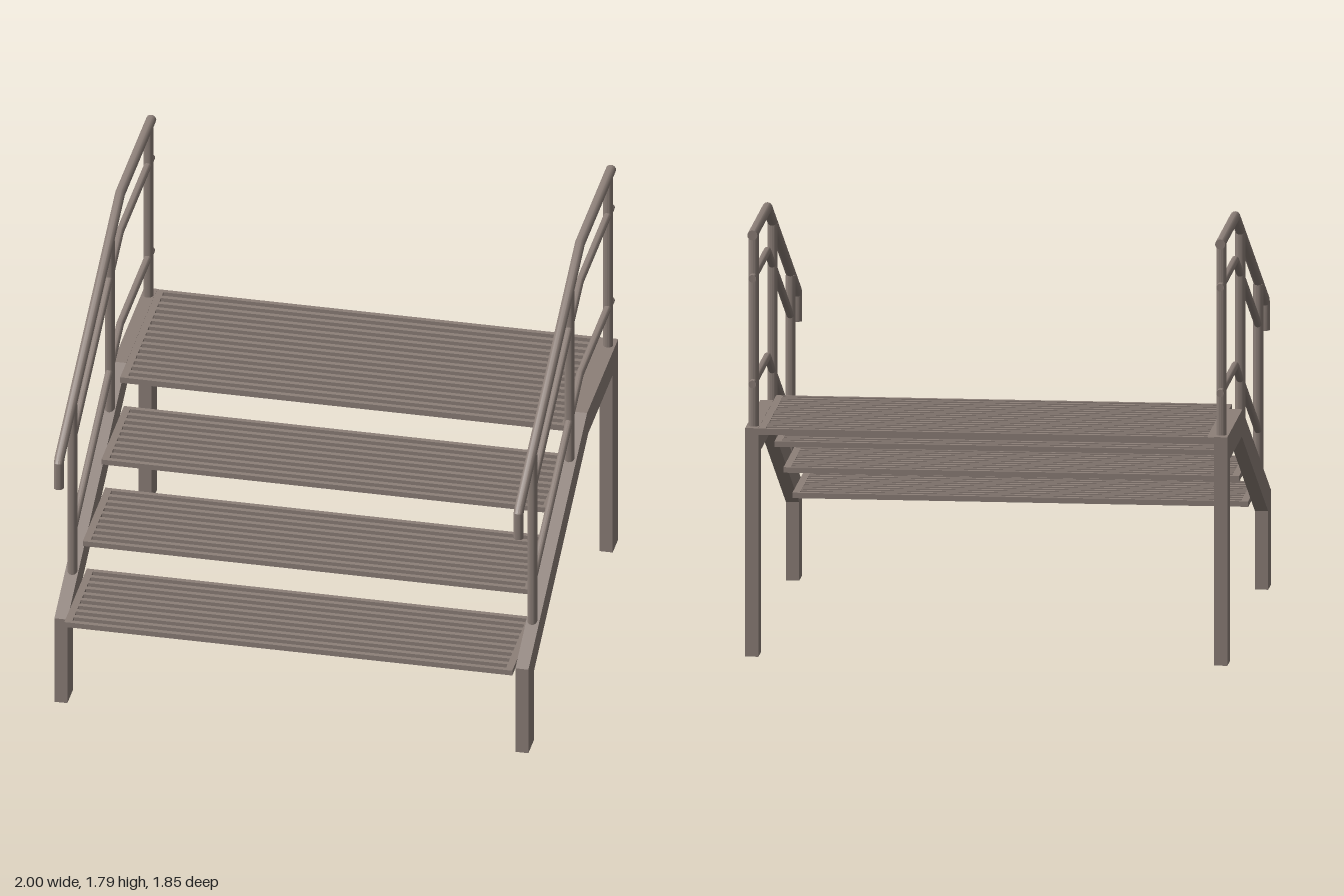
import * as THREE from 'three';
import { toCreasedNormals } from 'three/addons/utils/BufferGeometryUtils.js';

const material = new THREE.MeshStandardMaterial({ color: 0x8c7f78 });

function addMesh(parent, name, geometry) {
  const mesh = new THREE.Mesh(geometry, material);
  mesh.name = name;
  parent.add(mesh);
  return mesh;
}

// Round pipe with mitred bends; points are [z, y] pairs in a side plane.
function pipe(points, radius) {
  const pts = points.map(([z, y]) => new THREE.Vector2(z, y));
  const last = pts.length - 1;
  const geo = new THREE.CylinderGeometry(radius, radius, 1, 16, last);
  const across = pts.map((p, i) => {
    const a = pts[Math.max(i - 1, 0)], b = pts[Math.min(i + 1, last)];
    const d1 = (i ? p.clone().sub(a) : b.clone().sub(p)).normalize();
    const d2 = (i < last ? b.clone().sub(p) : d1.clone()).normalize();
    const t = d1.clone().add(d2).normalize();
    const stretch = 1 / t.dot(d1);
    return new THREE.Vector2(t.y, -t.x).multiplyScalar(stretch);
  });
  const pos = geo.attributes.position;
  for (let v = 0; v < pos.count; v++) {
    const i = Math.round((pos.getY(v) + 0.5) * last);
    const s = pos.getZ(v);
    pos.setXYZ(v, pos.getX(v), pts[i].y + across[i].y * s, pts[i].x + across[i].x * s);
  }
  return toCreasedNormals(geo, 0.6);
}

// Grating: long slats held between two end strips.
function grating(name, zBack, zFront, yBottom, height, slats) {
  const group = new THREE.Group();
  group.name = name;
  const depth = zFront - zBack, slat = 0.02, y = yBottom + height / 2;
  for (let i = 0; i < slats; i++) {
    const bar = addMesh(group, 'slat', new THREE.BoxGeometry(1.83, height, slat));
    bar.position.set(0, y, zBack + slat / 2 + i * (depth - slat) / (slats - 1));
  }
  for (const side of [-1, 1]) {
    const strip = addMesh(group, 'endStrip', new THREE.BoxGeometry(0.03, height, depth));
    strip.position.set(side * 0.93, y, (zBack + zFront) / 2);
  }
  return group;
}

export function createModel() {
  const model = new THREE.Group();
  model.name = 'steps';

  // Side frame outline: front leg, sloping stringer, landing beam, rear leg
  const outline = new THREE.Shape([
    [0.85, 0], [0.85, 0.4], [-0.31, 0.96], [-0.925, 0.96], [-0.925, 0],
    [-0.815, 0], [-0.815, 0.85], [-0.335, 0.85], [0.74, 0.33], [0.74, 0],
  ].map(([z, y]) => new THREE.Vector2(z, y)));
  const frameGeo = new THREE.ExtrudeGeometry(outline, { depth: 0.055, bevelEnabled: false });
  frameGeo.rotateY(-Math.PI / 2).translate(0.0275, 0, 0);

  // Railing pipes
  const handrailGeo = pipe([[0.903, 1.06], [0.903, 1.175], [0.885, 1.194], [-0.31, 1.77], [-0.925, 1.77]], 0.021);
  const middleGeo = pipe([[0.63, 1.135], [-0.31, 1.588], [-0.925, 1.588]], 0.016);
  const lowerGeo = pipe([[0.63, 0.69], [-0.31, 1.144], [-0.925, 1.144]], 0.016);
  const posts = [[0.63, 0.48, 1.305], [-0.105, 0.83, 1.665], [-0.868, 0.94, 1.765]];

  for (const side of [1, -1]) {
    const label = side > 0 ? 'left' : 'right';
    addMesh(model, label + 'SideFrame', frameGeo).position.x = side * 0.9725;
    const railing = new THREE.Group();
    railing.name = label + 'Railing';
    railing.position.x = side * 0.97;
    addMesh(railing, 'handrail', handrailGeo);
    addMesh(railing, 'middleRail', middleGeo);
    addMesh(railing, 'lowerRail', lowerGeo);
    for (const [z, y0, y1] of posts) addMesh(railing, 'post', pipe([[z, y0], [z, y1]], 0.021));
    model.add(railing);
  }

  // Treads and landing
  model.add(grating('lowerTread', 0.465, 0.91, 0.4, 0.023, 10));
  model.add(grating('middleTread', 0.1, 0.545, 0.577, 0.023, 10));
  model.add(grating('upperTread', -0.267, 0.178, 0.756, 0.023, 10));
  model.add(grating('landing', -0.925, -0.193, 0.933, 0.026, 16));

  return model;
}
